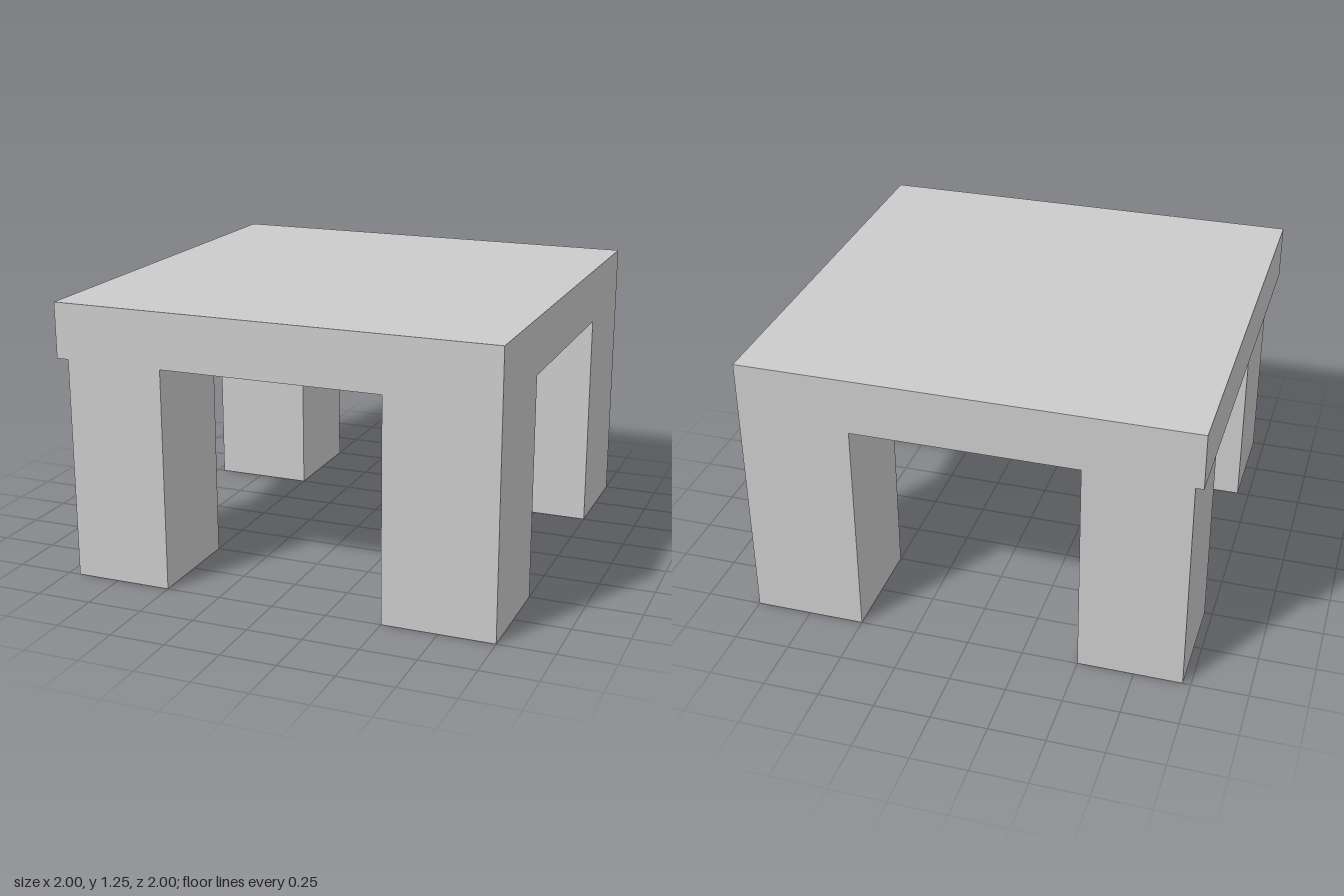
import * as THREE from 'three';

const material = new THREE.MeshStandardMaterial({ color: 0xcccccc, flatShading: true });

// Box given by its lower and upper corners
function block(name, [x0, y0, z0], [x1, y1, z1]) {
  const mesh = new THREE.Mesh(new THREE.BoxGeometry(x1 - x0, y1 - y0, z1 - z0), material);
  mesh.name = name;
  mesh.position.set((x0 + x1) / 2, (y0 + y1) / 2, (z0 + z1) / 2);
  return mesh;
}

export function createModel() {
  const table = new THREE.Group();
  table.name = 'table';

  // Thick square top
  table.add(block('tableTop', [-1, 1, -1], [1, 1.25, 1]));

  // Square legs; the two at -x are slightly inset from the edge of the top
  const legs = [
    ['frontLeftLeg', 0.5, 1, 0.5],
    ['backLeftLeg', 0.5, 1, -1],
    ['frontRightLeg', -0.945, -0.5, 0.5],
    ['backRightLeg', -0.965, -0.5, -1],
  ];
  for (const [name, x0, x1, z0] of legs) {
    table.add(block(name, [x0, 0, z0], [x1, 1, z0 + 0.5]));
  }
  return table;
}
